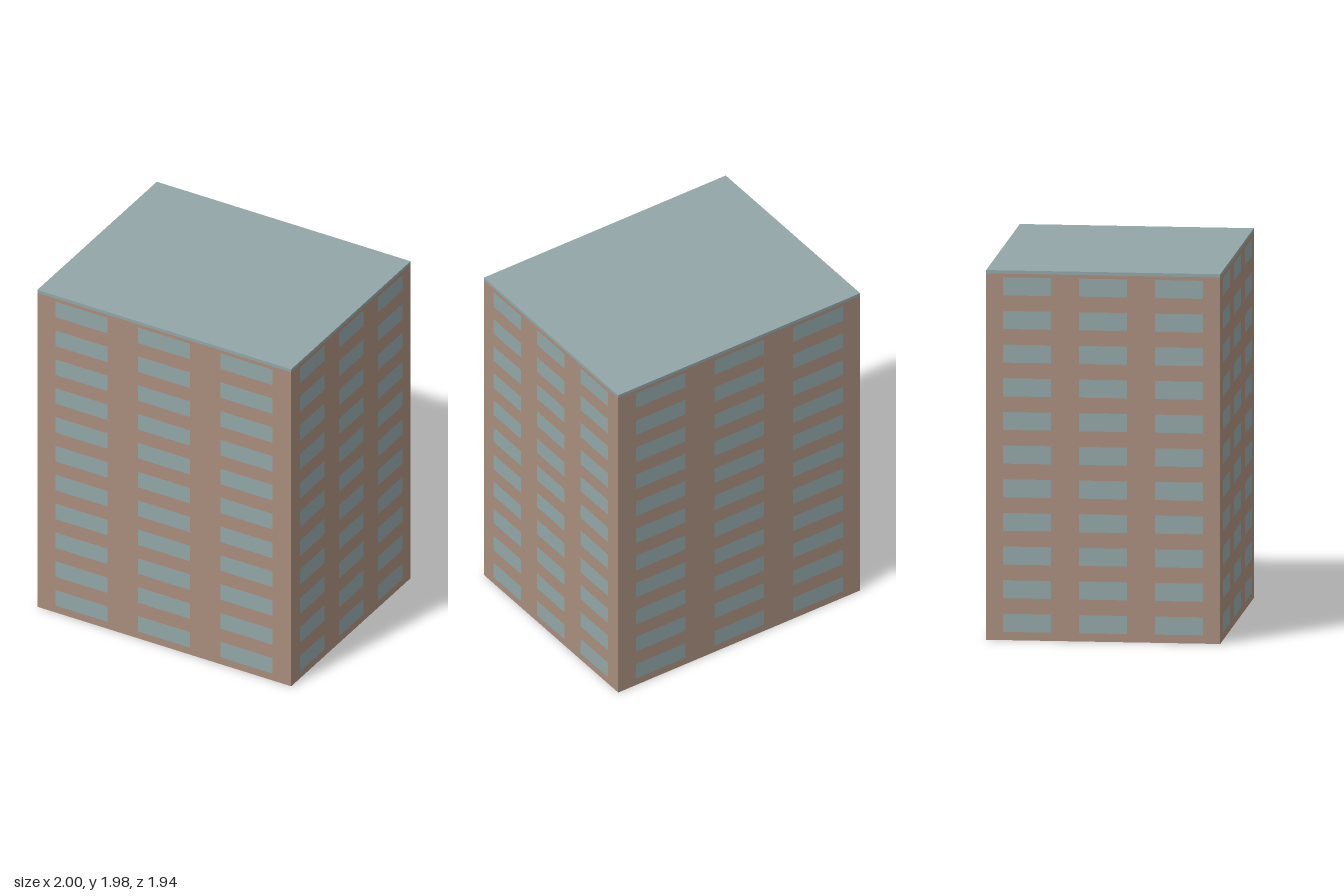
import * as THREE from 'three';

const WIDTH = 1.56, DEPTH = 1.248, HEIGHT = 1.983, ROOF = 0.018;
const FLOORS = 11, COLUMNS = 3;

export function createModel() {
  const brick = new THREE.MeshStandardMaterial({ name: 'brick', color: 0xa88d7c });
  const glass = new THREE.MeshStandardMaterial({ name: 'blueGrey', color: 0x92a6a7 });

  const tower = new THREE.Group();
  tower.name = 'tower';

  const addBox = (name, w, h, d, y, material) => {
    const mesh = new THREE.Mesh(new THREE.BoxGeometry(w, h, d), material);
    mesh.name = name;
    mesh.position.y = y + h / 2;
    tower.add(mesh);
  };

  // Walls and the thin roof slab
  addBox('walls', WIDTH, HEIGHT - ROOF, DEPTH, 0, brick);
  addBox('roof', WIDTH, ROOF, DEPTH, HEIGHT - ROOF, glass);

  // Window grid on each of the four walls
  const addFacade = (name, length, distance, angle) => {
    const facade = new THREE.Group();
    facade.name = name;
    facade.rotation.y = angle;
    const pane = new THREE.PlaneGeometry(length * 0.205, 0.097);
    for (let floor = 0; floor < FLOORS; floor++) {
      for (let column = 0; column < COLUMNS; column++) {
        const mesh = new THREE.Mesh(pane, glass);
        mesh.name = 'window';
        mesh.position.set((column - 1) * length * 0.325, 0.093 + floor * 0.1805, distance + 0.002);
        facade.add(mesh);
      }
    }
    tower.add(facade);
  };
  for (let side = 0; side < 4; side++) {
    const long = side % 2 === 0;
    addFacade(
      ['frontWindows', 'leftWindows', 'backWindows', 'rightWindows'][side],
      long ? WIDTH : DEPTH,
      (long ? DEPTH : WIDTH) / 2,
      side * Math.PI / 2
    );
  }

  // The building stands turned on its plot
  tower.rotation.y = THREE.MathUtils.degToRad(-37.35);

  const model = new THREE.Group();
  model.name = 'apartmentBlock';
  model.add(tower);
  return model;
}
